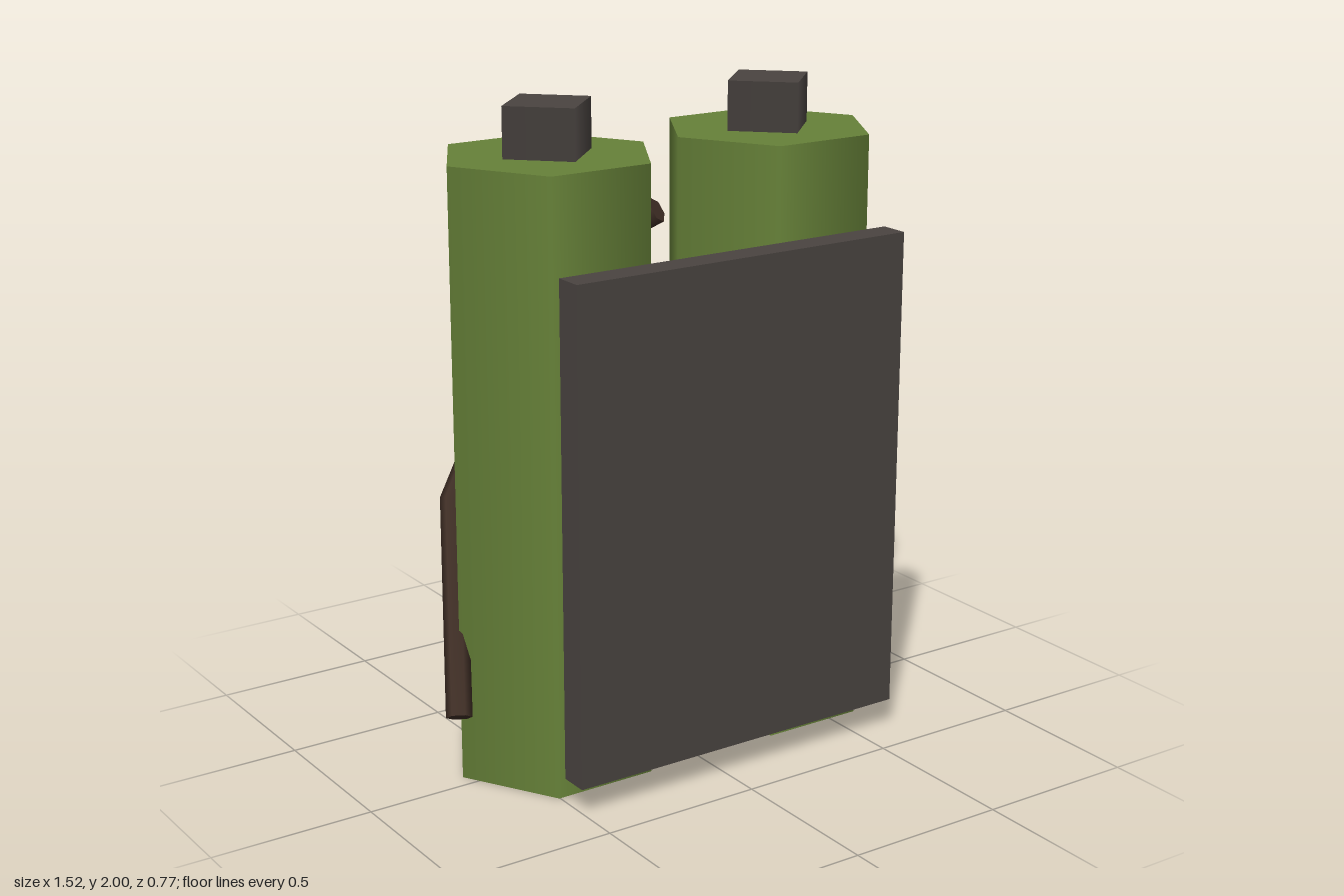
import * as THREE from 'three';

const green = new THREE.MeshStandardMaterial({ color: 0x678239 });
const dark = new THREE.MeshStandardMaterial({ color: 0x4a4441 });
const brown = new THREE.MeshStandardMaterial({ color: 0x402f26 });

function addMesh(parent, name, geometry, material, x = 0, y = 0, z = 0) {
  const mesh = new THREE.Mesh(geometry, material);
  mesh.name = name;
  mesh.position.set(x, y, z);
  parent.add(mesh);
  return mesh;
}

// Hexagonal tank with a square valve on top
function makeTank(name, x) {
  const tank = new THREE.Group();
  tank.name = name;
  const body = new THREE.CylinderGeometry(0.326, 0.326, 1.85, 6).rotateY(Math.PI / 2);
  addMesh(tank, 'tankBody', body, green, 0, 0.925, 0);
  addMesh(tank, 'valve', new THREE.CylinderGeometry(0.148, 0.148, 0.15, 4), dark, 0, 1.925, 0);
  tank.position.set(x, 0, -0.049);
  return tank;
}

// Flat fan closing one end ring of a tube
function endCap(tube, ring, sides, centre, flip) {
  const p = tube.attributes.position;
  const corner = (i) => new THREE.Vector3().fromBufferAttribute(p, ring * (sides + 1) + i);
  const points = [];
  for (let i = 0; i < sides; i++) {
    const a = corner(i), b = corner(i + 1);
    points.push(centre, ...(flip ? [b, a] : [a, b]));
  }
  const cap = new THREE.BufferGeometry().setFromPoints(points);
  cap.computeVertexNormals();
  return cap;
}

// Angular hose wrapped round the back of one tank
function makeHose() {
  const hose = new THREE.Group();
  hose.name = 'hose';
  const path = [
    new THREE.Vector3(0.04, 1.64, -0.055),
    new THREE.Vector3(-0.17, 1.43, -0.345),
    new THREE.Vector3(-0.55, 0.79, -0.275),
    new THREE.Vector3(-0.725, 0.245, 0.045),
  ];
  const curve = new THREE.CatmullRomCurve3(path);
  // sample exactly at the bends
  curve.getPointAt = (u, target) => curve.getPoint(u, target);
  curve.getTangentAt = (u, target) => curve.getTangent(u, target);
  const sides = 6;
  const tube = new THREE.TubeGeometry(curve, 3, 0.039, sides, false);
  addMesh(hose, 'hoseTube', tube, brown);
  const capMaterial = brown.clone();
  capMaterial.side = THREE.DoubleSide;
  addMesh(hose, 'hoseTopEnd', endCap(tube, 0, sides, path[0], false), capMaterial);
  addMesh(hose, 'hoseBottomEnd', endCap(tube, 3, sides, path[3], true), capMaterial);
  return hose;
}

export function createModel() {
  const model = new THREE.Group();
  model.name = 'twinTankPack';
  model.add(makeTank('rightTank', -0.34), makeTank('leftTank', 0.435));
  // Flat back plate in front of the tanks
  addMesh(model, 'plate', new THREE.BoxGeometry(1.135, 1.49, 0.09), dark, 0.048, 0.838, 0.34);
  model.add(makeHose());
  return model;
}
